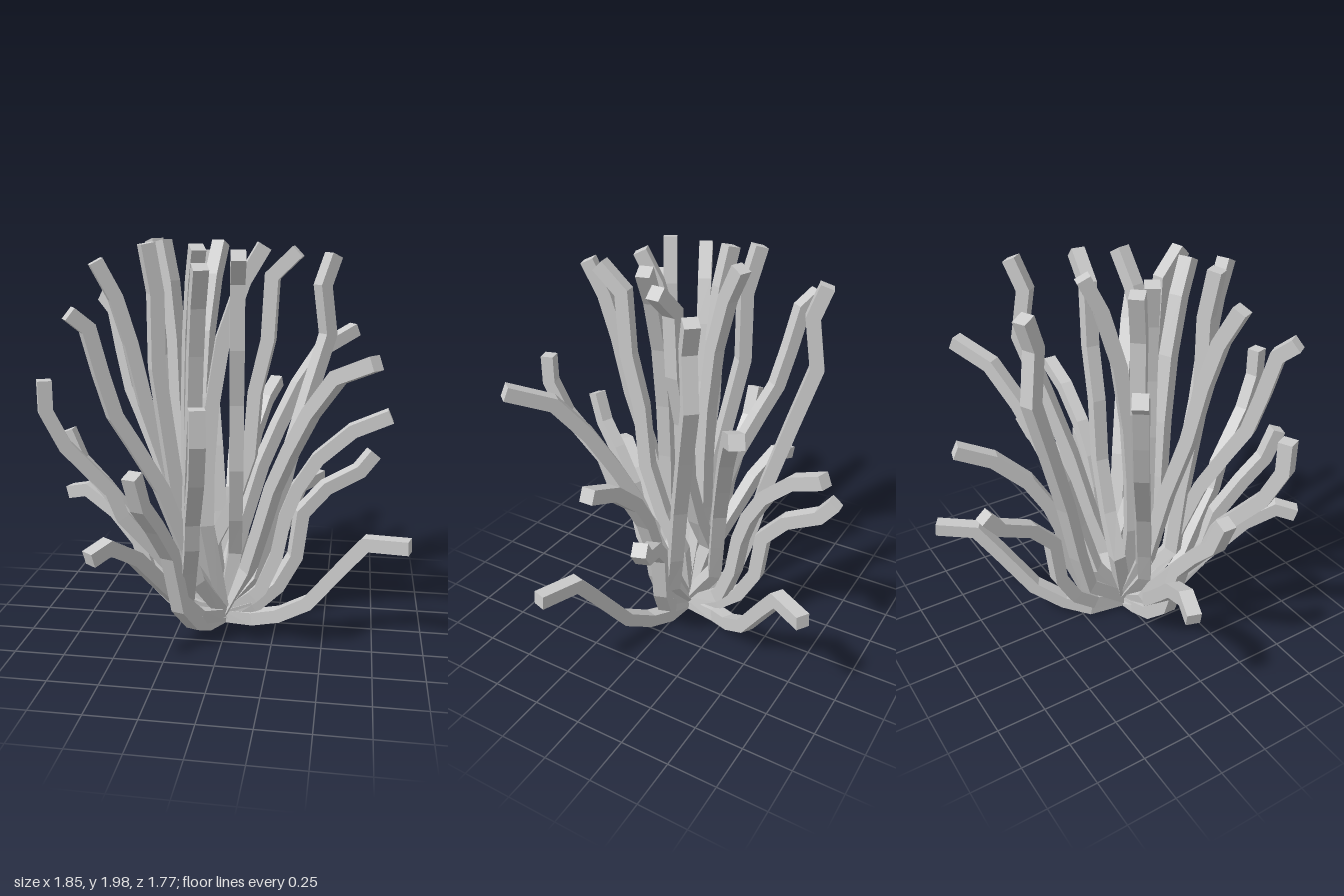
import * as THREE from 'three';

const HALF = 0.034; // half thickness of a stem
const ROOT = new THREE.Vector3(-0.03, 0.034, 0);

// Stem profiles: [fraction of the way from foot to tip, height]
const PROFILES = {
  lowFlat: [[0, .034], [.18, .08], [.38, .18], [.61, .42], [.74, .55], [1, .565]],
  lowDroop: [[0, .12], [.22, .27], [.44, .43], [.6, .55], [.84, .65], [1, .62]],
  midKink: [[0, .1], [.2, .2], [.35, .36], [.4, .6], [.6, .73], [.88, .81], [1, .9]],
  midArch: [[0, .16], [.06, .2], [.18, .39], [.24, .6], [.33, .76], [.48, .92], [.73, 1.07], [1, 1.15]],
  midRise: [[0, .04], [.2, .1], [.4, .24], [.54, .55], [.74, .73], [.91, .86], [1, 1.02]],
  wideRise: [[0, .14], [.08, .25], [.3, .45], [.5, .62], [.57, .76], [.88, 1.01], [1, 1.19], [1, 1.34]],
  tallArch: [[0, .3], [.12, .55], [.23, .79], [.37, 1], [.53, 1.21], [.73, 1.4], [1, 1.49]],
  tallHook: [[0, .3], [.1, .5], [.3, .82], [.52, 1.05], [.67, 1.2], [.77, 1.4], [.86, 1.61], [1, 1.68]],
  tallWave: [[0, .25], [.2, .5], [.42, .85], [.7, 1.2], [.95, 1.5], [.86, 1.75], [1, 1.9]],
  tallLean: [[0, .4], [.25, .85], [.5, 1.2], [.65, 1.5], [.8, 1.72], [1, 1.89]],
  innerRise: [[0, .4], [.2, .85], [.45, 1.2], [.52, 1.5], [.72, 1.78], [1, 1.975]],
  innerWave: [[0, .4], [.25, .8], [.55, 1.15], [.76, 1.4], [.76, 1.75], [1, 1.975]],
  innerHook: [[0, .6], [.02, .9], [.1, 1.2], [.3, 1.53], [.65, 1.8], [1, 1.96]],
  innerCurl: [[0, .4], [.25, .62], [.46, .9], [.52, 1.23], [.67, 1.5], [.71, 1.81], [1, 1.93]],
};

// Stems by cluster: [profile, foot x, foot z, tip x, tip z]
const CLUSTERS = {
  leftCluster: [
    ['lowFlat', .13, .02, .91, .25], ['midArch', .13, .015, .8, .015],
    ['midKink', .13, .01, .73, -.2], ['tallArch', .1, .02, .71, .51],
    ['tallWave', .14, -.01, .49, -.32], ['innerCurl', .03, 0, .1, .4],
  ],
  backCluster: [
    ['lowFlat', 0, -.2, .43, -.87], ['midArch', -.01, -.2, .165, -.82],
    ['midKink', -.03, -.2, -.07, -.8], ['tallArch', -.01, -.18, .61, -.6],
    ['tallWave', -.07, -.25, -.225, -.61], ['innerCurl', -.1, -.09, .33, -.05],
  ],
  rightCluster: [
    ['lowDroop', -.2, .04, -.91, -.19], ['midRise', -.13, .015, -.84, .015],
    ['wideRise', -.2, .03, -.84, .33], ['tallHook', -.2, .02, -.73, -.37],
    ['tallLean', -.2, .03, -.6, .22], ['innerWave', -.2, .01, -.41, -.18],
    ['innerRise', -.19, .03, -.34, -.06], ['innerHook', -.15, -.03, -.08, -.25],
  ],
  frontCluster: [
    ['lowDroop', -.13, .22, -.52, .75], ['midRise', -.1, .13, -.31, .76],
    ['wideRise', -.19, .2, -.01, .84], ['tallHook', -.14, .2, -.64, .52],
    ['tallLean', -.18, .2, -.04, .57], ['innerWave', -.2, .2, -.34, .28],
    ['innerHook', -.19, .1, -.1, .3], ['innerHook', -.09, .16, .18, .1],
  ],
};

// Sweeps a square section along a polyline with mitred corners
function stemGeometry(path, flatSide) {
  const positions = [], index = [];
  const last = path.length - 1;
  const dir = (i) => path[i + 1].clone().sub(path[i]).normalize();
  path.forEach((p, i) => {
    const before = dir(Math.max(i - 1, 0)), after = dir(Math.min(i, last - 1));
    const t = before.clone().add(after).normalize();
    const side = flatSide.clone().addScaledVector(t, -flatSide.dot(t)).normalize();
    const up = t.clone().cross(side);
    const miter = 1 / Math.max(t.dot(after), 0.75);
    for (const [a, b] of [[1, 1], [-1, 1], [-1, -1], [1, -1]]) {
      const v = p.clone().addScaledVector(side, a * HALF).addScaledVector(up, b * HALF * miter);
      positions.push(v.x, Math.max(v.y, 0), v.z);
    }
  });
  for (let i = 0; i < last; i++) {
    for (let k = 0; k < 4; k++) {
      const a = i * 4 + k, b = i * 4 + (k + 1) % 4;
      index.push(a, b, b + 4, a, b + 4, a + 4);
    }
  }
  const e = last * 4;
  index.push(0, 2, 1, 0, 3, 2, e, e + 1, e + 2, e, e + 2, e + 3); // end caps
  const g = new THREE.BufferGeometry();
  g.setAttribute('position', new THREE.Float32BufferAttribute(positions, 3));
  g.setIndex(index);
  const flat = g.toNonIndexed();
  flat.computeVertexNormals();
  return flat;
}

export function createModel() {
  const model = new THREE.Group();
  model.name = 'branchingCoral';
  const material = new THREE.MeshStandardMaterial({ color: 0xcccccc, flatShading: true });

  for (const [name, stems] of Object.entries(CLUSTERS)) {
    const cluster = new THREE.Group();
    cluster.name = name;
    stems.forEach(([profile, fx, fz, tx, tz], i) => {
      const path = [ROOT.clone()];
      for (const [s, y] of PROFILES[profile]) {
        path.push(new THREE.Vector3(fx + (tx - fx) * s, y, fz + (tz - fz) * s));
      }
      const flatSide = new THREE.Vector3(tz - fz, 0, fx - tx).normalize();
      const stem = new THREE.Mesh(stemGeometry(path, flatSide), material);
      stem.name = `stem${i + 1}`;
      cluster.add(stem);
    });
    model.add(cluster);
  }
  return model;
}
